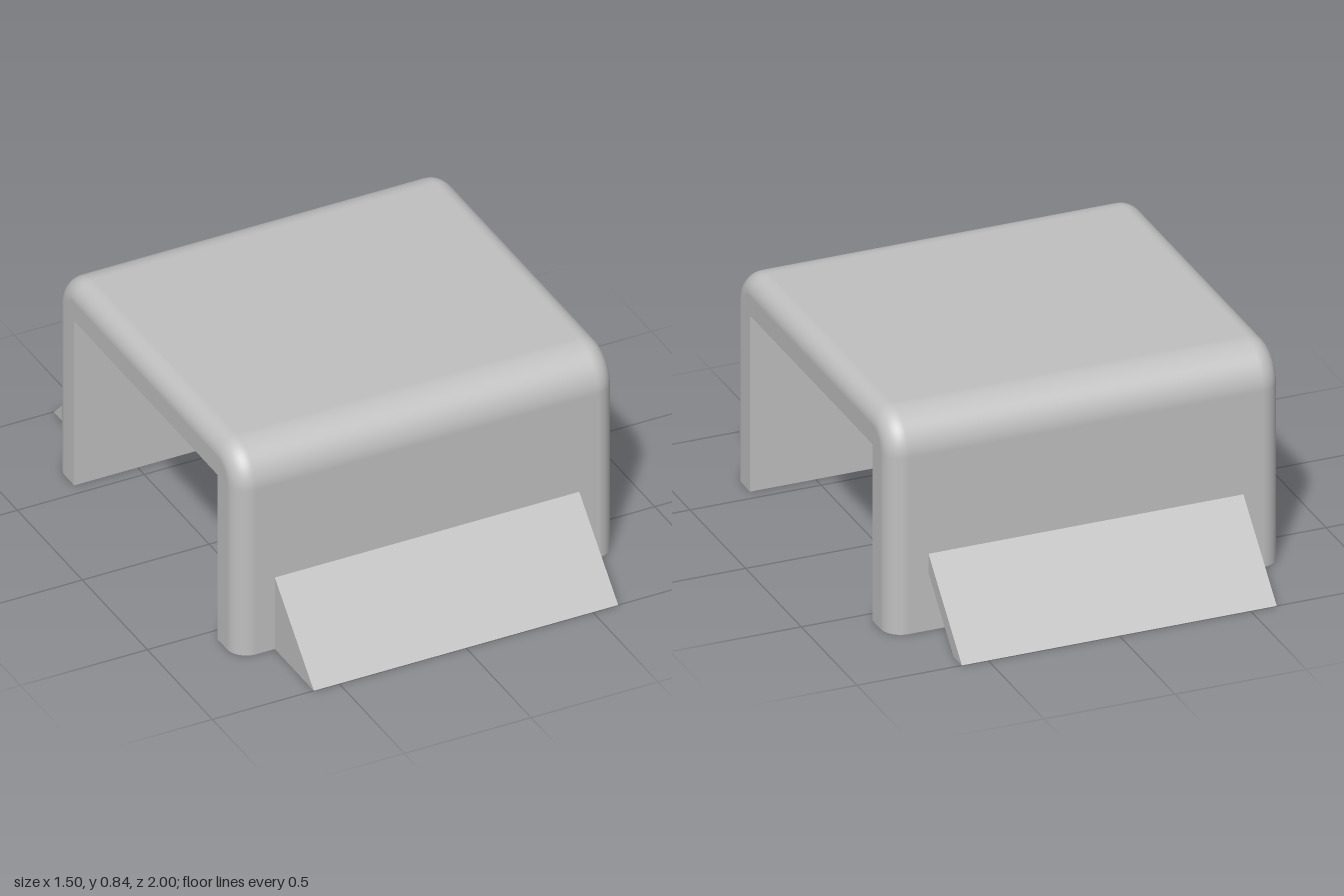
import * as THREE from 'three';

const HALF_X = 0.75, HALF_Z = 0.7, TOP = 0.84; // outer size of the arch
const WALL = 0.15, EDGE = 0.075;               // wall thickness, rounding of the side rims
const FIN_X = 0.6, FIN = 0.3, FIN_WALL = 0.075;

const grey = new THREE.MeshStandardMaterial({ color: 0xc0c0c0 });
grey.name = 'grey';

// Outer arch line from front foot over the top to the back foot: position and normal in z, y
function archLine() {
  const line = [{ z: HALF_Z, y: 0, nz: 1, ny: 0 }];
  for (const [side, start] of [[1, 0], [-1, Math.PI / 2]]) {
    for (let k = 0; k <= 12; k++) {
      const a = start + (k / 12) * Math.PI / 2;
      const nz = Math.cos(a), ny = Math.sin(a);
      line.push({ z: side * (HALF_Z - WALL) + WALL * nz, y: TOP - WALL + WALL * ny, nz, ny });
    }
  }
  line.push({ z: -HALF_Z, y: 0, nz: -1, ny: 0 });
  return line;
}

// Cross-sections along x: rounded rim, straight middle, rounded rim
function rimSteps() {
  const steps = [];
  for (const side of [1, -1]) {
    for (let k = 0; k <= 10; k++) {
      const a = ((side > 0 ? 10 - k : k) / 10) * Math.PI / 2;
      const nx = side * Math.sin(a);
      steps.push({ x: side * (HALF_X - EDGE) + EDGE * nx, nx, scale: Math.cos(a) });
    }
  }
  return steps;
}

function shellGeometry() {
  const line = archLine(), steps = rimSteps();
  const pos = [], nor = [], idx = [], n = line.length;
  steps.forEach((s, i) => line.forEach((p, j) => {
    const inset = EDGE * (1 - s.scale);
    pos.push(s.x, p.y - p.ny * inset, p.z - p.nz * inset);
    nor.push(s.nx, p.ny * s.scale, p.nz * s.scale);
    if (i < steps.length - 1 && j < n - 1) {
      const a = i * n + j;
      idx.push(a, a + 1, a + n, a + 1, a + n + 1, a + n);
    }
  }));
  const g = new THREE.BufferGeometry();
  g.setAttribute('position', new THREE.Float32BufferAttribute(pos, 3));
  g.setAttribute('normal', new THREE.Float32BufferAttribute(nor, 3));
  g.setIndex(idx);
  return g;
}

const shapeOf = (points) => new THREE.Shape(points.map(([a, b]) => new THREE.Vector2(a, b)));

export function createModel() {
  const model = new THREE.Group();
  model.name = 'archWithFins';
  const add = (name, geometry) => {
    const mesh = new THREE.Mesh(geometry, grey);
    mesh.name = name;
    model.add(mesh);
  };

  add('outerShell', shellGeometry());

  // Flat U-shaped ends of the arch
  const inZ = HALF_Z - WALL, inY = TOP - WALL;
  const endShape = shapeOf([
    ...archLine().map((p) => [p.z - p.nz * EDGE, p.y - p.ny * EDGE]),
    [-inZ, 0], [-inZ, inY], [inZ, inY], [inZ, 0],
  ]);
  for (const side of [1, -1]) {
    const end = new THREE.ShapeGeometry(endShape);
    end.rotateY(side * Math.PI / 2).translate(side * HALF_X, 0, 0);
    add(side > 0 ? 'leftEnd' : 'rightEnd', end);
  }

  // Ceiling inside the arch
  add('ceiling', new THREE.PlaneGeometry(2 * HALF_X, 2 * inZ).rotateX(Math.PI / 2).translate(0, inY, 0));

  for (const side of [1, -1]) {
    const where = side > 0 ? 'front' : 'back';

    // Inner wall, facing the middle
    const inner = new THREE.PlaneGeometry(2 * HALF_X, inY);
    if (side > 0) inner.rotateY(Math.PI);
    add(where + 'InnerWall', inner.translate(0, inY / 2, side * inZ));

    // Underside of the foot, following the rounded rims
    const outline = rimSteps().map((s) => [s.x, side * (HALF_Z - EDGE * (1 - s.scale))]);
    const foot = shapeOf([...outline, [-HALF_X, side * inZ], [HALF_X, side * inZ]]);
    add(where + 'Foot', new THREE.ShapeGeometry(foot).rotateX(Math.PI / 2));

    // Sloping fin, open at one end and closed by a triangular wall at the other
    const prism = (points, xFrom, xTo) =>
      new THREE.ExtrudeGeometry(shapeOf(points.map(([z, y]) => [side * z, y])),
        { depth: xFrom - xTo, bevelEnabled: false })
        .rotateY(-Math.PI / 2).translate(xFrom, 0, 0);
    const tip = HALF_Z + FIN, split = -FIN_X + FIN_WALL;
    add(where + 'FinSlope', prism(
      [[tip, 0], [HALF_Z, FIN], [HALF_Z, FIN - FIN_WALL], [tip - FIN_WALL, 0]], FIN_X, split));
    add(where + 'FinEndWall', prism([[tip, 0], [HALF_Z, FIN], [HALF_Z, 0]], split, -FIN_X));
  }
  return model;
}
